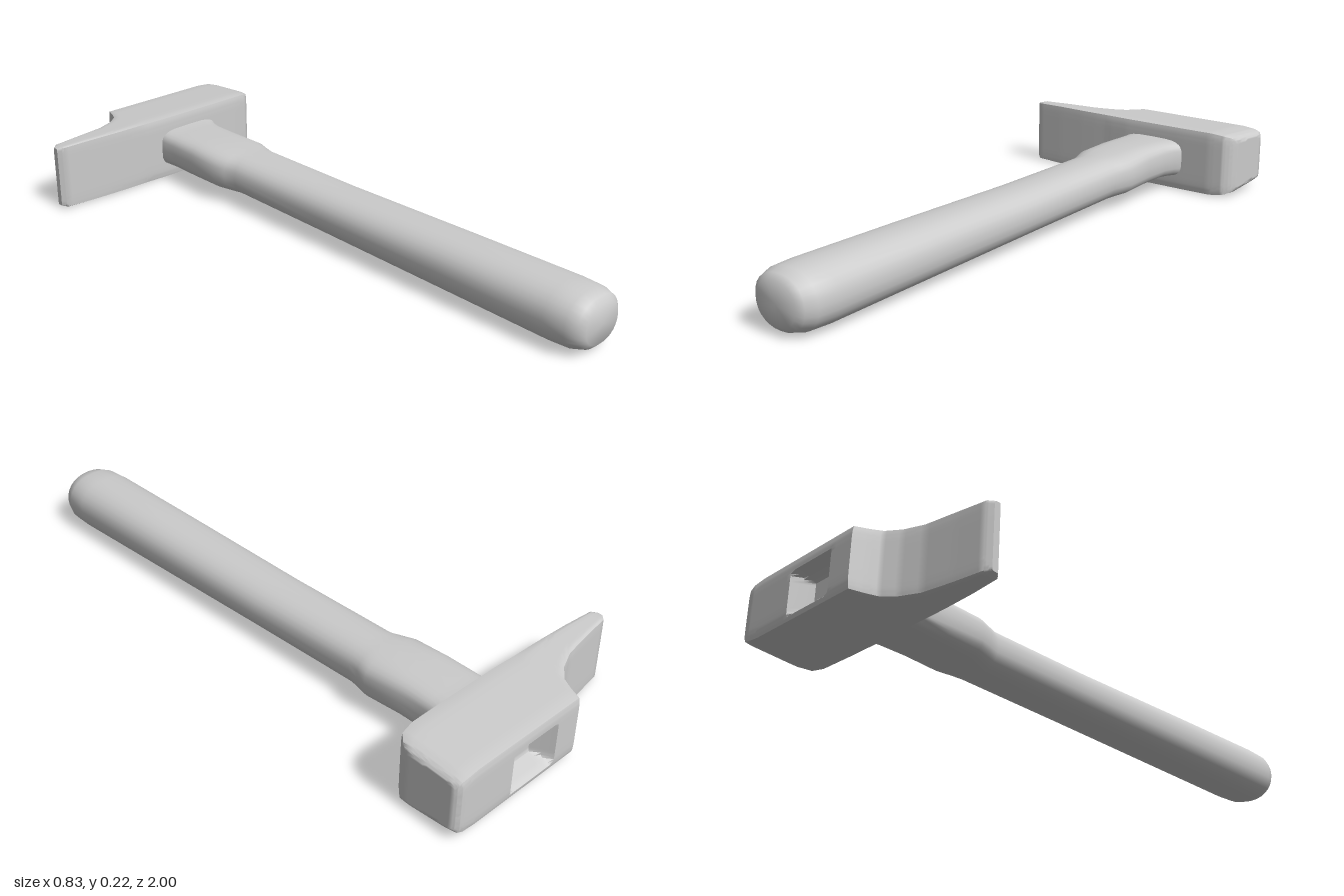
import * as THREE from 'three';
import { mergeVertices, toCreasedNormals } from 'three/addons/utils/BufferGeometryUtils.js';

const material = new THREE.MeshStandardMaterial({ color: 0xcccccc });
const { lerp, clamp } = THREE.MathUtils;

// Blend between neighbouring rows of a station table; t runs from 0 to 1
function sample(rows, t) {
  const f = t * (rows.length - 1);
  const i = Math.min(Math.floor(f), rows.length - 2);
  return rows[i].map((v, k) => lerp(v, rows[i + 1][k], f - i));
}

// Hammer head: a subdivided box shaped by stations along x
function headGeometry() {
  // x, back z, front z, top and bottom inset
  const stations = [
    [-0.417, -0.82, -0.8, 0.007],
    [-0.4, -0.835, -0.785, 0.002],
    [-0.3, -0.85, -0.778, 0],
    [-0.2, -0.867, -0.773, 0],
    [-0.14, -0.893, -0.771, 0],
    [-0.1, -0.925, -0.77, 0],
    [-0.083, -0.96, -0.769, 0],
    [-0.068, -1, -0.768, 0],
    [0, -1, -0.765, 0],
    [0.11, -1, -0.765, 0],
    [0.22, -1, -0.765, 0],
    [0.34, -1, -0.767, 0],
    [0.385, -1, -0.775, 0.005],
    [0.405, -0.997, -0.795, 0.012],
    [0.415, -0.985, -0.82, 0.022],
  ];
  const box = new THREE.BoxGeometry(2, 2, 2, (stations.length - 1) * 6, 28, 12);
  box.deleteAttribute('uv');
  box.deleteAttribute('normal');
  const geo = mergeVertices(box);
  const p = geo.attributes.position;
  for (let i = 0; i < p.count; i++) {
    const u = p.getX(i), v = p.getY(i), w = p.getZ(i);
    const [x, back, front, inset] = sample(stations, (u + 1) / 2);
    // Soften the long edges
    const vr = v * (1 - 0.035 * w ** 8);
    const wr = w * (1 - 0.035 * v ** 8);
    let z = lerp(back, front, (wr + 1) / 2);
    // The head gets slightly lower towards its back
    const taper = Math.max(0, -0.765 - z) * 0.07;
    const y = 0.113 + vr * (0.113 - inset - taper);
    // Eye pocket sunk into the back, behind the handle
    if (w < -0.999) {
      const d = Math.max(Math.abs(x - 0.11) / 0.09, Math.abs(y - 0.105) / 0.068);
      z += 0.06 * clamp((1 - d) / 0.35, 0, 1);
    }
    p.setXYZ(i, x, y, z);
  }
  return toCreasedNormals(geo, 0.8);
}

// Handle: rounded cross-sections joined along z and closed at both ends
function handleGeometry() {
  // z, left x, right x, bottom y, top y, roundness power (2 is an ellipse)
  const rows = [
    [1, 0.045, 0.19, 0.03, 0.155, 2.2],
    [0.985, 0.025, 0.21, 0.014, 0.17, 2.2],
    [0.95, 0.012, 0.223, 0.005, 0.178, 2.3],
    [0.88, 0.008, 0.226, 0.003, 0.181, 2.3],
    [0.5, 0.01, 0.217, 0.013, 0.178, 2.4],
    [0, 0.011, 0.207, 0.025, 0.173, 2.4],
    [-0.4, 0.011, 0.2, 0.035, 0.175, 2.6],
    [-0.44, -0.002, 0.208, 0.037, 0.176, 2.8],
    [-0.48, -0.014, 0.217, 0.039, 0.178, 3],
    [-0.6, -0.014, 0.207, 0.043, 0.179, 3.4],
    [-0.7, -0.012, 0.208, 0.047, 0.176, 3.8],
    [-0.745, -0.012, 0.218, 0.046, 0.175, 4],
    [-0.775, -0.013, 0.235, 0.044, 0.177, 4],
  ];
  const sides = 28;
  const pos = [], index = [];
  const power = (c, n) => Math.sign(c) * Math.abs(c) ** (2 / n);
  for (const [z, x0, x1, y0, y1, n] of rows) {
    for (let s = 0; s < sides; s++) {
      const a = (s / sides) * Math.PI * 2;
      pos.push((x0 + x1) / 2 + ((x1 - x0) / 2) * power(Math.cos(a), n),
        (y0 + y1) / 2 + ((y1 - y0) / 2) * power(Math.sin(a), n), z);
    }
  }
  const last = (rows.length - 1) * sides;
  const endA = pos.length / 3, endB = endA + 1;
  pos.push(0.118, 0.092, 1.002, 0.105, 0.11, -0.775);
  for (let s = 0; s < sides; s++) {
    const t = (s + 1) % sides;
    for (let r = 0; r < last; r += sides) {
      index.push(r + s, r + sides + s, r + t, r + t, r + sides + s, r + sides + t);
    }
    index.push(endA, s, t, endB, last + t, last + s);
  }
  const geo = new THREE.BufferGeometry();
  geo.setAttribute('position', new THREE.Float32BufferAttribute(pos, 3));
  geo.setIndex(index);
  return toCreasedNormals(geo, 0.9);
}

export function createModel() {
  const group = new THREE.Group();
  group.name = 'hammer';
  const head = new THREE.Mesh(headGeometry(), material);
  head.name = 'head';
  const handle = new THREE.Mesh(handleGeometry(), material);
  handle.name = 'handle';
  group.add(head, handle);
  return group;
}
